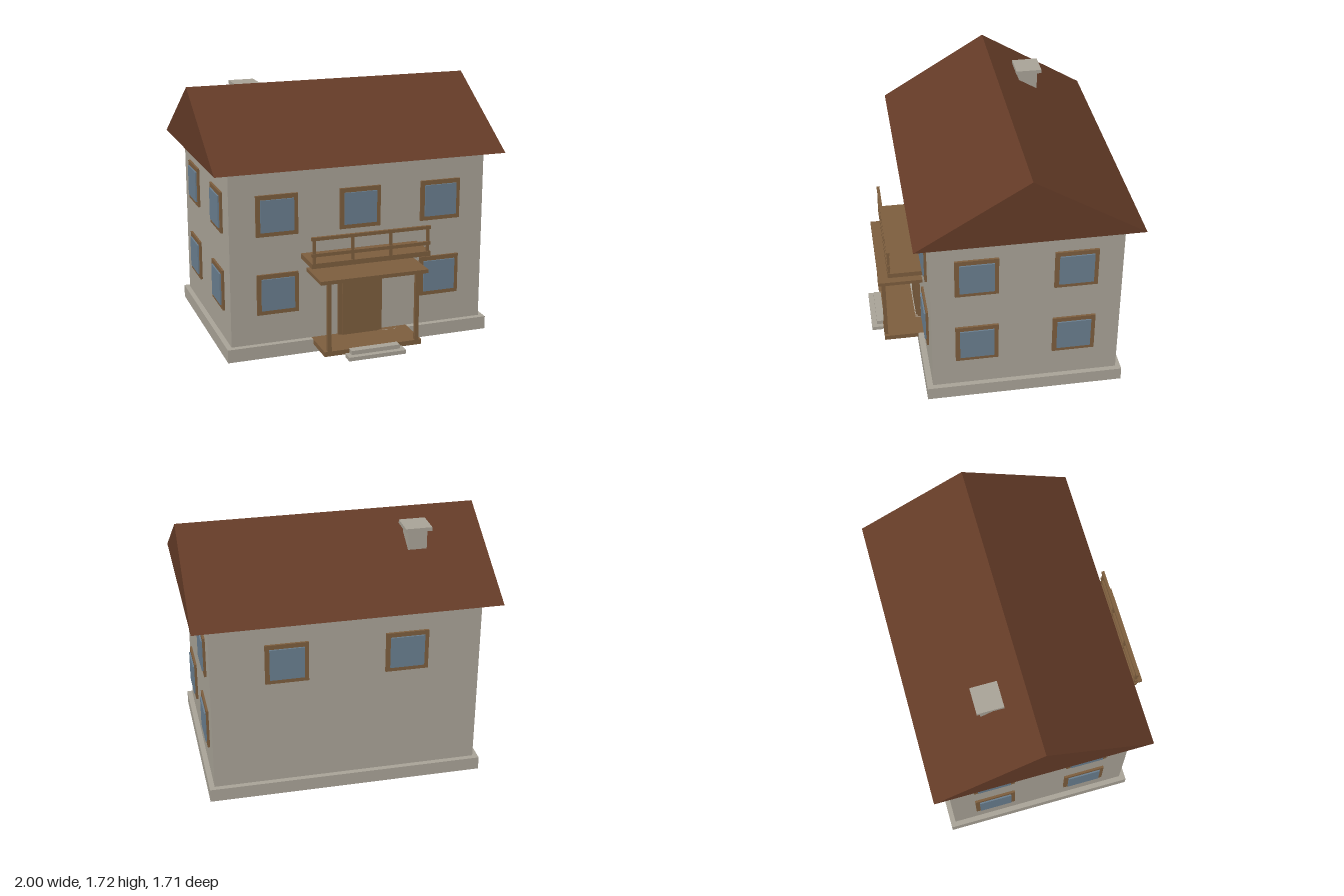
import * as THREE from 'three';

const material = (name, color) => {
  const m = new THREE.MeshStandardMaterial({ color });
  m.name = name;
  return m;
};

export function createModel() {
  const house = new THREE.Group();
  house.name = 'house';
  const stone = material('stone', 0xaaa498);
  const wood = material('wood', 0x7d5e3e);
  const roofTile = material('roofTile', 0x643b27);
  const glass = material('glass', 0x6a7f90);

  // Box given by its lower and upper limits on each axis
  const box = (name, mat, [x0, x1], [y0, y1], [z0, z1], parent = house) => {
    const mesh = new THREE.Mesh(new THREE.BoxGeometry(x1 - x0, y1 - y0, z1 - z0), mat);
    mesh.position.set((x0 + x1) / 2, (y0 + y1) / 2, (z0 + z1) / 2);
    mesh.name = name;
    parent.add(mesh);
    return mesh;
  };

  // Foundation and walls
  box('foundation', stone, [-0.925, 0.925], [0, 0.09], [-0.785, 0.54]);
  box('walls', stone, [-0.89, 0.89], [0.09, 1.275], [-0.75, 0.5]);

  // Gable roof, extruded along x
  const gable = new THREE.Shape([[-0.605, 1.275], [0.855, 1.275], [0.125, 1.715]]
    .map(([a, b]) => new THREE.Vector2(a, b)));
  const roofGeometry = new THREE.ExtrudeGeometry(gable, { depth: 2, bevelEnabled: false });
  roofGeometry.translate(0, 0, -1).rotateY(Math.PI / 2);
  const roof = new THREE.Mesh(roofGeometry, roofTile);
  roof.name = 'roof';
  house.add(roof);

  // Chimney
  box('chimneyStack', stone, [-0.6, -0.474], [1.4, 1.66], [-0.434, -0.306]);
  box('chimneyCap', stone, [-0.625, -0.449], [1.66, 1.685], [-0.46, -0.284]);

  // Window: frame plate with a raised pane, facing +z before turning
  const addWindow = (x, y, z, turn) => {
    const win = new THREE.Group();
    win.name = 'window';
    box('windowFrame', wood, [-0.142, 0.142], [-0.138, 0.138], [-0.005, 0.015], win);
    box('windowPane', glass, [-0.113, 0.113], [-0.108, 0.108], [0, 0.025], win);
    win.position.set(x, y, z);
    win.rotation.y = turn;
    house.add(win);
  };
  const lower = 0.433, upper = 0.967;
  for (const y of [lower, upper]) {
    for (const x of [-0.572, 0, 0.572]) addWindow(x, y, 0.5, 0);
    for (const side of [-1, 1]) {
      for (const z of [0.202, -0.443]) addWindow(side * 0.89, y, z, side * Math.PI / 2);
    }
  }
  for (const x of [-0.395, 0.395]) addWindow(x, upper, -0.75, Math.PI);

  // Front door
  box('doorFrame', wood, [-0.155, 0.155], [0.09, 0.527], [0.49, 0.522]);
  box('doorLeaf', wood, [-0.13, 0.13], [0.09, 0.5], [0.49, 0.533]);

  // Porch with posts, canopy and steps
  box('porchDeck', wood, [-0.34, 0.34], [0.057, 0.09], [0.5, 0.775]);
  box('porchCanopy', wood, [-0.372, 0.372], [0.56, 0.585], [0.5, 0.797]);
  for (const x of [-0.305, 0.305]) {
    box('porchPost', wood, [x - 0.013, x + 0.013], [0.09, 0.56], [0.75, 0.776]);
  }
  box('upperStep', stone, [-0.168, 0.168], [0.064, 0.092], [0.765, 0.818]);
  box('lowerStep', stone, [-0.198, 0.198], [0.038, 0.064], [0.775, 0.855]);

  // Balcony with front railing
  box('balconyFloor', wood, [-0.41, 0.41], [0.655, 0.688], [0.5, 0.735]);
  for (const x of [-0.392, -0.131, 0.131, 0.392]) {
    box('railingPost', wood, [x - 0.009, x + 0.009], [0.688, 0.845], [0.717, 0.733]);
  }
  for (const y of [0.743, 0.851]) {
    box('railingBar', wood, [-0.41, 0.41], [y - 0.011, y + 0.011], [0.715, 0.735]);
  }

  return house;
}
